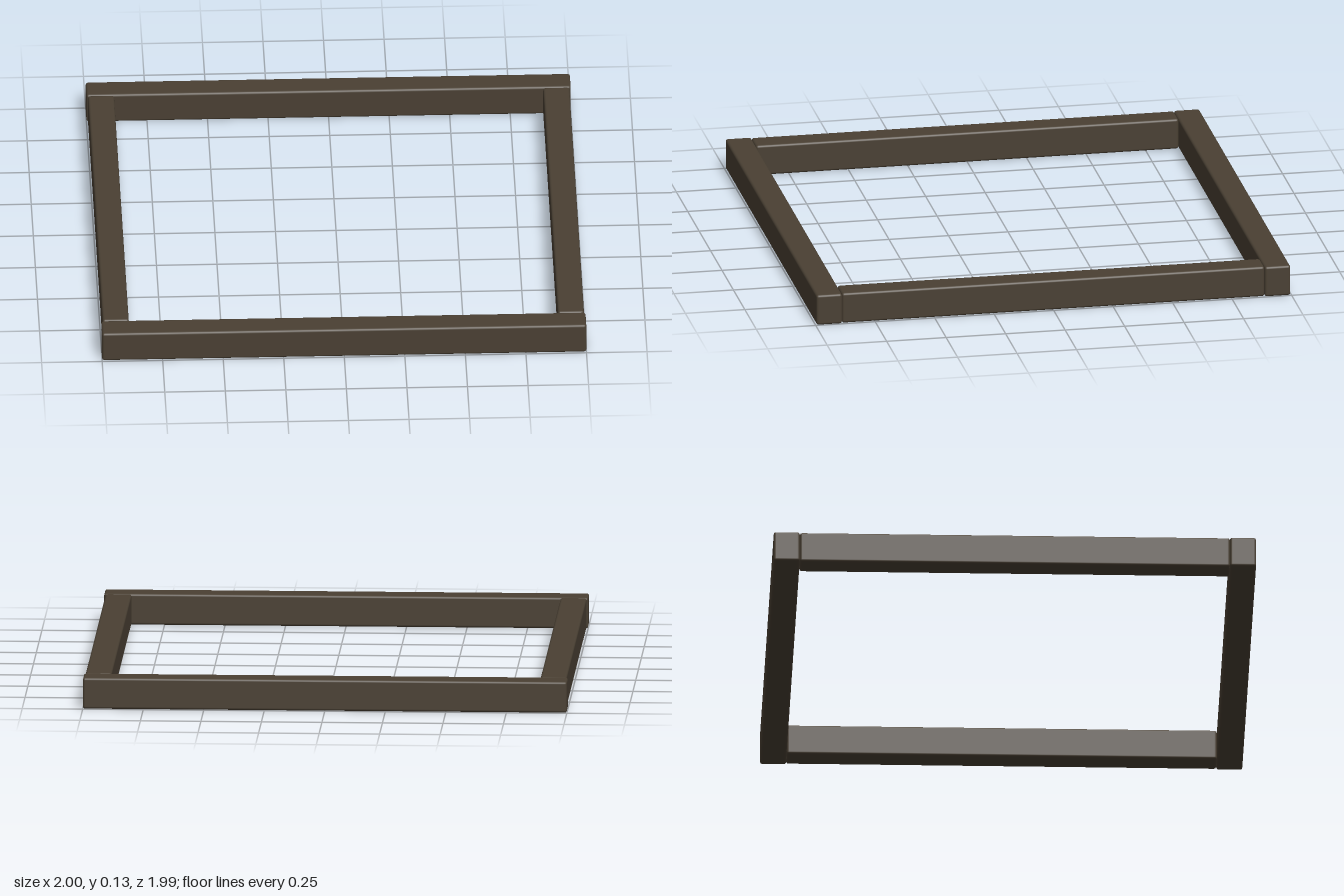
import * as THREE from 'three';
import { RoundedBoxGeometry } from 'three/addons/geometries/RoundedBoxGeometry.js';

const HEIGHT = 0.13;
const THICK = 0.108;   // beam thickness
const BEVEL = 0.01;

export function createModel() {
  const model = new THREE.Group();
  model.name = 'squareFrame';

  const wood = new THREE.MeshStandardMaterial({ color: 0x4a4033 });
  wood.name = 'dark brown wood';

  const addBeam = (name, width, depth, x, z) => {
    const beam = new THREE.Mesh(new RoundedBoxGeometry(width, HEIGHT, depth, 2, BEVEL), wood);
    beam.name = name;
    beam.position.set(x, HEIGHT / 2, z);
    model.add(beam);
  };

  // Full-width beams at front and back
  const endZ = 0.996 - THICK / 2;
  addBeam('frontBeam', 2, THICK, 0, endZ);
  addBeam('backBeam', 2, THICK, 0, -endZ);

  // Side beams fitted between them, set in slightly
  const sideX = 0.994 - THICK / 2;
  const sideLength = 2 * (0.996 - THICK);
  addBeam('leftBeam', THICK, sideLength, sideX, 0);
  addBeam('rightBeam', THICK, sideLength, -sideX, 0);

  return model;
}
